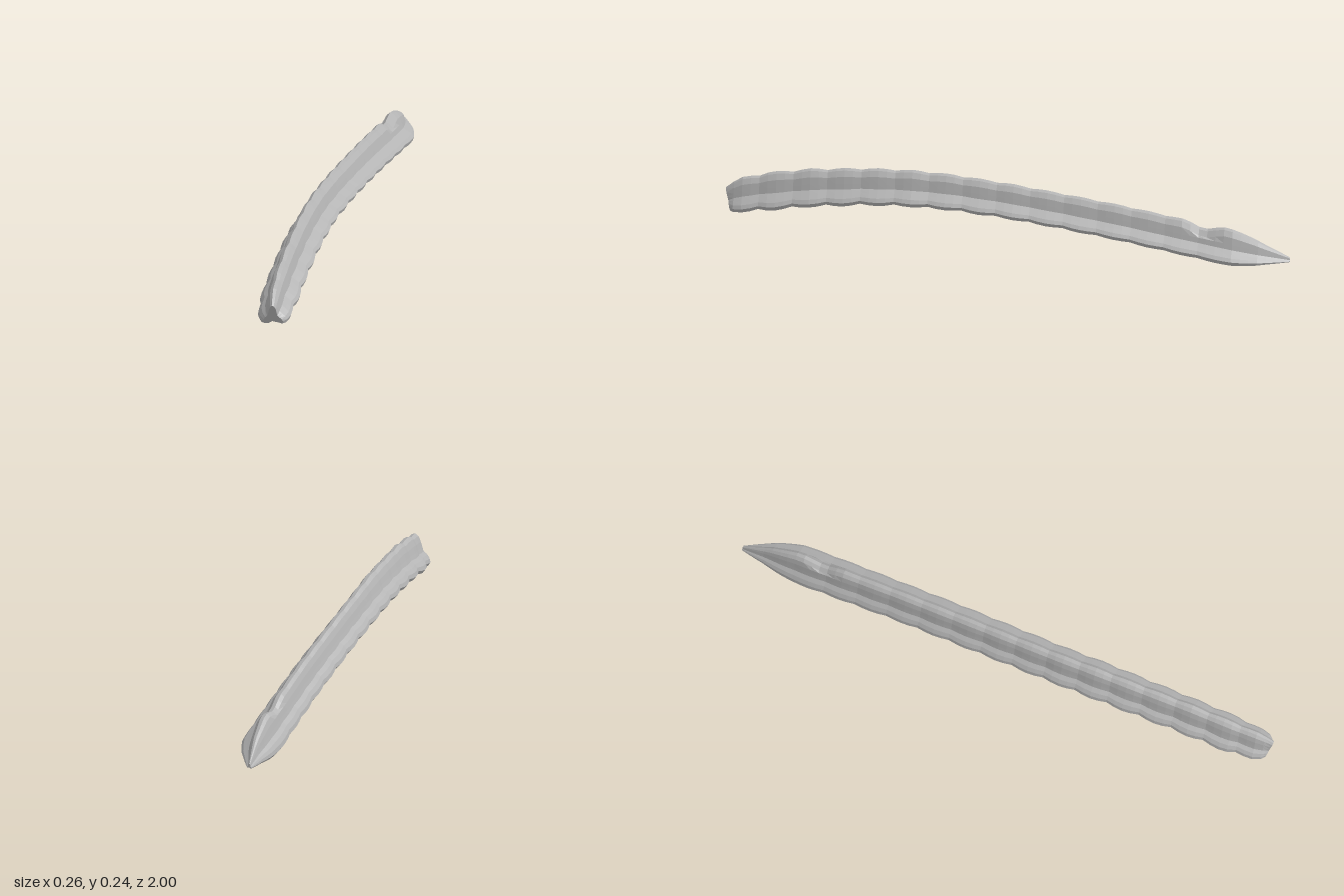
import * as THREE from 'three';

// Envelope along the length: z, xMin, xMax, yMin, yMax
const KEYS = [
  [1.00, -0.102, -0.024, 0.052, 0.137],
  [0.95, -0.122, -0.010, 0.058, 0.170],
  [0.85, -0.134, 0.001, 0.073, 0.197],
  [0.70, -0.130, 0.006, 0.097, 0.222],
  [0.50, -0.124, 0.014, 0.118, 0.239],
  [0.35, -0.117, 0.023, 0.125, 0.245],
  [0.20, -0.106, 0.031, 0.122, 0.241],
  [0.00, -0.087, 0.050, 0.109, 0.227],
  [-0.20, -0.066, 0.071, 0.089, 0.208],
  [-0.40, -0.044, 0.091, 0.063, 0.187],
  [-0.60, -0.025, 0.112, 0.033, 0.160],
  [-0.80, -0.005, 0.131, 0.000, 0.137],
  [-0.90, 0.020, 0.107, 0.008, 0.094],
  [-1.00, 0.046, 0.062, 0.022, 0.040],
];

// Cross-section in unit coordinates, counter-clockwise from the front:
// hollow underside, right lobe, groove, tall ridge, groove, left lobe
const SECTION = [
  [0.07, 0], [0.25, 0.01], [0.45, 0.14], [0.7, 0.1], [0.96, 0.04], [1, 0.16],
  [0.94, 0.27], [0.83, 0.37], [0.73, 0.46], [0.7, 0.62], [0.66, 0.82], [0.57, 0.97],
  [0.47, 1], [0.38, 0.92], [0.31, 0.74], [0.26, 0.56], [0.22, 0.43],
  [0.11, 0.34], [0.03, 0.23], [0, 0.11],
];

const STEP = 0.03, BUMP = 0.12, RINGS = 68;

// Interpolated envelope at z
function envelope(z) {
  let i = 0;
  while (i < KEYS.length - 2 && z < KEYS[i + 1][0]) i++;
  const a = KEYS[i], b = KEYS[i + 1];
  const t = (a[0] - z) / (a[0] - b[0]);
  return a.map((v, k) => v + (b[k] - v) * t);
}

function ring(z) {
  const [, x0, x1, y0, y1] = envelope(z);
  // scalloped swellings that fade towards the back
  const depth = 0.085 + 0.05 * z;
  const swell = 1 + depth * (Math.abs(Math.sin(Math.PI * (1 - z) / BUMP)) - 0.8);
  // small notch in the top ridge
  const notch = 0.022 * Math.max(0, 1 - Math.abs(z + 0.7) / 0.07);
  // the section rolls gradually: right lobe rises and ridge leans left
  const roll = (1 - z) / 2;
  return SECTION.map(([su, sv]) => {
    const u = su - 0.08 * roll * sv;
    const v = sv + 0.2 * roll * su * (1 - sv);
    return [
      (x0 + x1) / 2 + (u - 0.5) * (x1 - x0) * swell,
      (y0 + y1) / 2 + (v - 0.5) * (y1 - y0) * swell - (sv > 0.8 ? notch : 0),
      z - (z > 0.99 ? (1 - v) * 0.02 : 0),
    ];
  });
}

function bodyGeometry() {
  const n = SECTION.length, points = [], index = [];
  for (let i = 0; i < RINGS; i++) points.push(...ring(Math.max(-1, 1 - i * STEP)));
  const centre = (start) => [0, 1, 2].map((k) => {
    let sum = 0;
    for (let j = 0; j < n; j++) sum += points[start + j][k];
    return sum / n;
  });
  const last = (RINGS - 1) * n, front = points.length, back = front + 1;
  points.push(centre(0), centre(last));

  for (let j = 0; j < n; j++) {
    const k = (j + 1) % n;
    for (let i = 0; i < RINGS - 1; i++) {
      const a = i * n + j, b = i * n + k, c = a + n, d = b + n;
      index.push(a, c, b, b, c, d);
    }
    // end caps
    index.push(front, j, k, back, last + k, last + j);
  }
  const g = new THREE.BufferGeometry();
  g.setAttribute('position', new THREE.Float32BufferAttribute(points.flat(), 3));
  g.setIndex(index);
  const flat = g.toNonIndexed();
  flat.computeVertexNormals();
  return flat;
}

export function createModel() {
  const grey = new THREE.MeshStandardMaterial({ color: 0xb4b4b4, flatShading: true });
  grey.name = 'grey';
  const body = new THREE.Mesh(bodyGeometry(), grey);
  body.name = 'ridgedStalk';
  const group = new THREE.Group();
  group.name = 'curvedStalk';
  group.add(body);
  return group;
}
